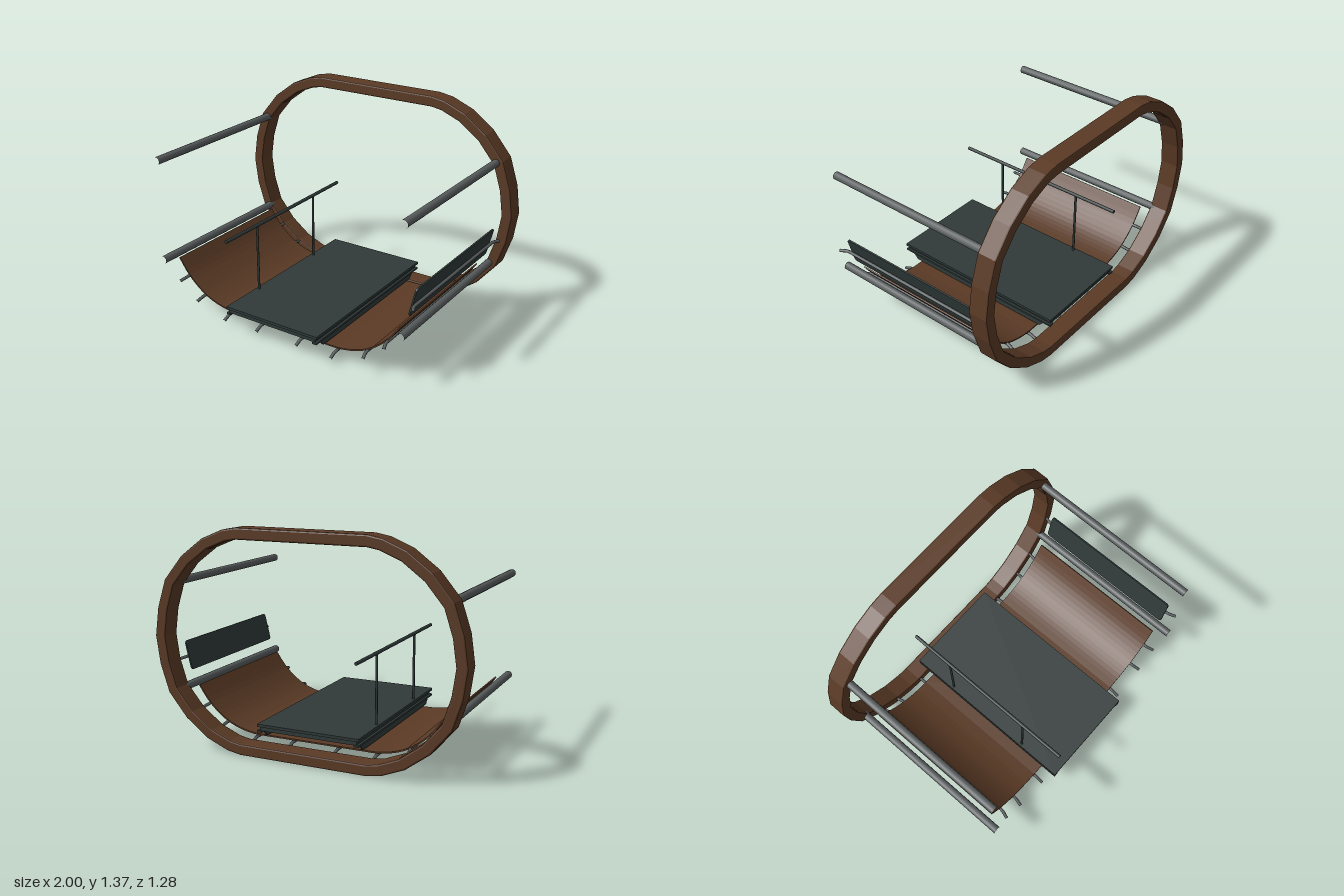
import * as THREE from 'three';

const brown = new THREE.MeshStandardMaterial({ name: 'brown', color: 0x5a3a25, side: THREE.DoubleSide });
const slate = new THREE.MeshStandardMaterial({ name: 'dark slate', color: 0x303a39 });
const steel = new THREE.MeshStandardMaterial({ name: 'grey steel', color: 0x585c5d });

const V2 = (x, y) => new THREE.Vector2(x, y);

export function createModel() {
  const model = new THREE.Group();
  model.name = 'tubularFrame';

  function add(name, geometry, material, x = 0, y = 0, z = 0) {
    const mesh = new THREE.Mesh(geometry, material);
    mesh.name = name;
    mesh.position.set(x, y, z);
    model.add(mesh);
    return mesh;
  }

  // Box given by its z range
  const box = (name, w, h, z0, z1, x, y) =>
    add(name, new THREE.BoxGeometry(w, h, z1 - z0), slate, x, y, (z0 + z1) / 2);

  // Round bar along z
  function barZ(name, radius, z0, z1, x, y, material, open) {
    const g = new THREE.CylinderGeometry(radius, radius, z1 - z0, 12, 1, open).rotateX(Math.PI / 2);
    return add(name, g, material, x, y, (z0 + z1) / 2);
  }

  // Move a path sideways along its averaged normals
  function offset(points, d, closed) {
    const n = points.length;
    return points.map((p, i) => {
      const a = points[closed ? (i + n - 1) % n : Math.max(i - 1, 0)];
      const b = points[closed ? (i + 1) % n : Math.min(i + 1, n - 1)];
      const t = b.clone().sub(a).normalize();
      return V2(p.x - t.y * d, p.y + t.x * d);
    });
  }

  // Stadium ring with small bevels
  const quarter = [[1, 0], [0.975, 0.176], [0.917, 0.352], [0.794, 0.5], [0.646, 0.61], [0.505, 0.668], [0.414, 0.684]];
  const right = [...quarter.slice(1).reverse().map(([x, y]) => V2(x, -y)), ...quarter.map(([x, y]) => V2(x, y))];
  const outer = [...right, ...right.map(p => V2(-p.x, -p.y))];
  const ringShape = new THREE.Shape(outer);
  ringShape.holes.push(new THREE.Path(offset(outer, 0.07, true)));
  add('endRing', new THREE.ExtrudeGeometry(ringShape, {
    depth: 0.105, bevelEnabled: true, bevelThickness: 0.01, bevelSize: 0.01, bevelOffset: -0.01, bevelSegments: 2,
  }), brown, 0, 0.685, -0.63);

  // Curved floor shell
  const half = [[0.4, 0.088], [0.51, 0.108], [0.62, 0.155], [0.73, 0.245], [0.81, 0.352]];
  const arc = new THREE.SplineCurve(half.map(p => V2(...p))).getPoints(16);
  const top = [...arc.map(p => V2(-p.x, p.y)).reverse(), ...arc];
  const under = offset(top, -0.009, false).reverse();
  add('floorShell', new THREE.ExtrudeGeometry(new THREE.Shape([...top, ...under]), {
    depth: 0.98, bevelEnabled: false,
  }), brown, 0, 0, -0.46);

  // Long side rails
  for (const s of [-1, 1]) {
    for (const y of [0.35, 1.02]) barZ('sideRail', 0.025, -0.54, 0.61, s * 0.87, y, steel, true);
  }

  // Thin ribs with ends bent outwards: x, y and outward direction
  function rib(x, y, nx, ny) {
    const d = 0.022;
    const path = new THREE.CurvePath();
    const pts = [[d, 0.59], [0, 0.54], [0, -0.465], [d, -0.53]]
      .map(([o, z]) => new THREE.Vector3(x + nx * o, y + ny * o, z));
    for (let i = 0; i < 3; i++) path.add(new THREE.LineCurve3(pts[i], pts[i + 1]));
    add('bentRib', new THREE.TubeGeometry(path, 48, 0.01, 8), steel);
  }
  for (const s of [-1, 1]) {
    rib(s * 0.15, 0.068, 0, -1);
    rib(s * 0.4, 0.068, 0, -1);
    rib(s * 0.61, 0.136, s * 0.5, -0.87);
    rib(s * 0.74, 0.238, s * 0.75, -0.66);
  }
  rib(0.908, 0.52, 0.95, -0.3);

  // Tilted side panel with rounded corners
  const w = 0.49, h = 0.093, r = 0.02;
  const panelShape = new THREE.Shape();
  panelShape.absarc(w - r, h - r, r, 0, Math.PI / 2);
  panelShape.absarc(r - w, h - r, r, Math.PI / 2, Math.PI);
  panelShape.absarc(r - w, r - h, r, Math.PI, Math.PI * 1.5);
  panelShape.absarc(w - r, r - h, r, Math.PI * 1.5, Math.PI * 2);
  const panelGeo = new THREE.ExtrudeGeometry(panelShape, { depth: 0.01, bevelEnabled: false, curveSegments: 5 });
  panelGeo.translate(0, 0, -0.005).rotateY(Math.PI / 2).rotateZ(-0.24);
  add('sidePanel', panelGeo, slate, 0.892, 0.53, 0.035);

  // Platform: two plates around a narrower core
  box('platformTop', 0.67, 0.017, -0.57, 0.638, 0, 0.18);
  box('platformCore', 0.64, 0.03, -0.56, 0.628, 0, 0.16);
  for (const s of [-1, 1]) box('platformLip', 0.03, 0.012, -0.57, 0.638, s * 0.32, 0.143);

  // Skids under the platform
  const skid = new THREE.Shape([V2(-0.59, 0.138), V2(-0.55, 0.095), V2(0.48, 0.095), V2(0.52, 0.138)]);
  for (const s of [-1, 1]) {
    const g = new THREE.ExtrudeGeometry(skid, { depth: 0.01, bevelEnabled: false });
    add('platformSkid', g.translate(0, 0, -0.005).rotateY(Math.PI / 2), slate, s * 0.32, 0, 0);
  }

  // Handrail with two posts
  barZ('handrail', 0.011, -0.56, 0.638, -0.315, 0.628, slate, false);
  for (const z of [0.337, -0.268]) {
    add('handrailPost', new THREE.CylinderGeometry(0.008, 0.008, 0.44, 10), slate, -0.315, 0.408, z);
    add('postCap', new THREE.SphereGeometry(0.013, 10, 8), slate, -0.315, 0.626, z);
  }

  return model;
}
